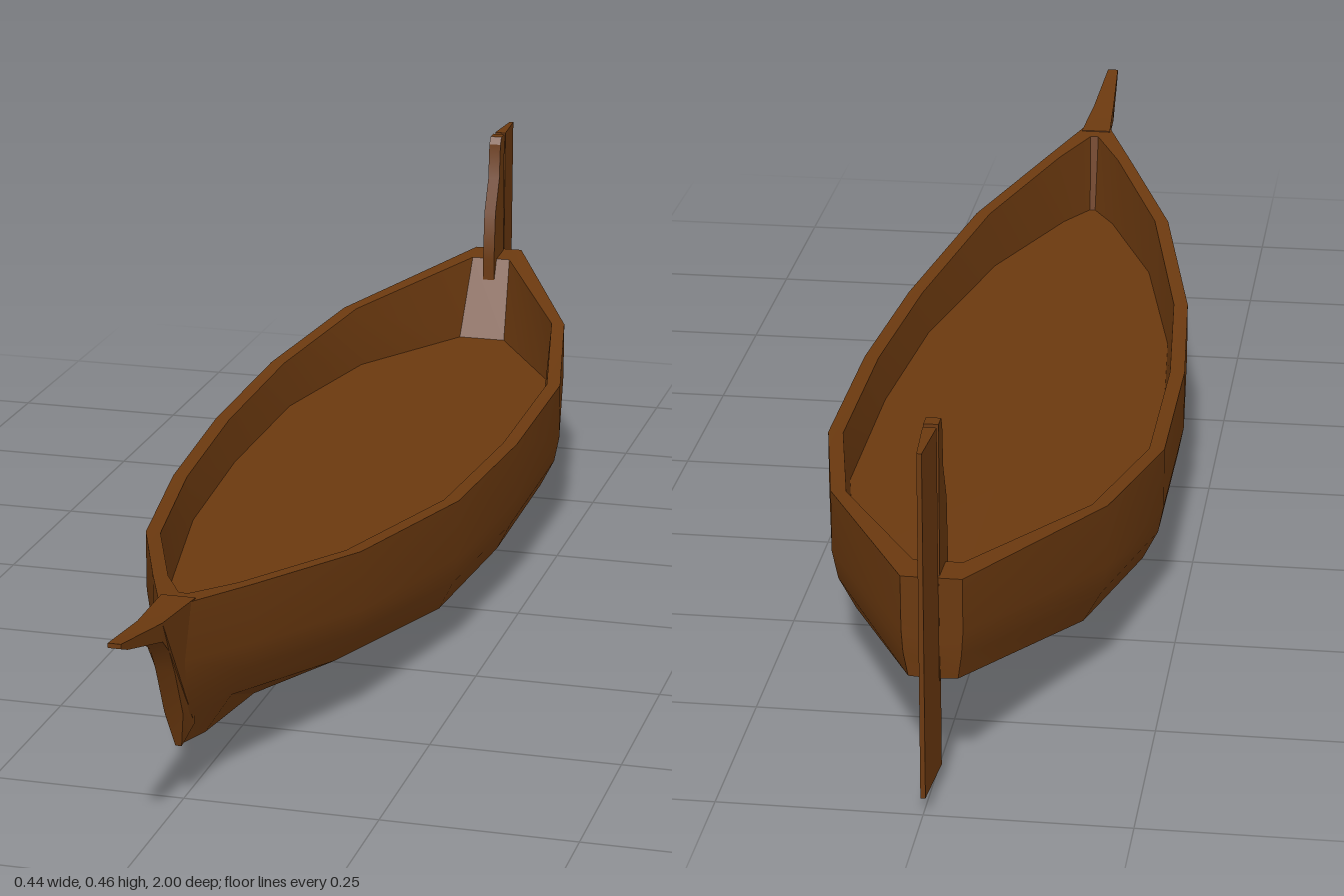
import * as THREE from 'three';
import { toCreasedNormals } from 'three/addons/utils/BufferGeometryUtils.js';

const DECK_Y = 0.155;

// Half section from keel out to the rail, back in and down to the deck centre
function halfSection([z, keelY, chineX, chineY, railX, railY]) {
  const mix = (a, b, t) => a + (b - a) * t;
  return [
    [0, keelY, z],
    [chineX, chineY, z],
    [mix(chineX, railX, 0.74), mix(chineY, railY, 0.25), z],
    [railX, mix(chineY, railY, 0.48), z],
    [railX, railY, z],
    [railX - 0.02, railY, z],
    [railX - 0.028, DECK_Y, z],
    [0, DECK_Y, z],
  ];
}

function hullGeometry() {
  const stations = [
    // raked stern end
    [[0, 0.14, -0.915], [0.03, 0.142, -0.915], [0.035, 0.175, -0.92], [0.037, 0.205, -0.92],
      [0.037, 0.275, -0.922], [0.03, 0.272, -0.868], [0.036, DECK_Y, -0.81], [0, DECK_Y, -0.81]],
    // z, keel y, chine x, chine y, rail x, rail y
    ...[
      [-0.62, 0.04, 0.145, 0.085, 0.175, 0.245],
      [-0.38, 0.011, 0.195, 0.065, 0.222, 0.222],
      [-0.1, 0.003, 0.195, 0.06, 0.222, 0.218],
      [0.16, 0.003, 0.176, 0.06, 0.202, 0.217],
      [0.45, 0.028, 0.11, 0.085, 0.145, 0.238],
      [0.66, 0.056, 0.035, 0.11, 0.066, 0.26],
    ].map(halfSection),
    // raked bow end
    [[0, 0.08, 0.765], [0.008, 0.12, 0.775], [0.011, 0.16, 0.785], [0.012, 0.2, 0.795],
      [0.021, 0.273, 0.775], [0.006, 0.27, 0.74], [0.004, DECK_Y, 0.72], [0, DECK_Y, 0.72]],
  ];
  const positions = [];
  const mirror = ([x, y, z]) => [-x, y, z];
  const quad = (a, b, c, d) => positions.push(...a, ...b, ...c, ...a, ...c, ...d);

  // Both sides, rail, inner walls and deck
  for (let s = 0; s < stations.length - 1; s++) {
    for (let i = 0; i < 7; i++) {
      const q = [stations[s][i], stations[s][i + 1], stations[s + 1][i + 1], stations[s + 1][i]];
      quad(...q);
      quad(...q.map(mirror).reverse());
    }
  }
  // End walls, closed across the boat
  const stern = stations[0];
  const bow = stations[stations.length - 1];
  for (let i = 0; i < 6; i++) {
    quad(mirror(stern[i]), mirror(stern[i + 1]), stern[i + 1], stern[i]);
    quad(bow[i], bow[i + 1], mirror(bow[i + 1]), mirror(bow[i]));
  }
  const geometry = new THREE.BufferGeometry();
  geometry.setAttribute('position', new THREE.Float32BufferAttribute(positions, 3));
  return toCreasedNormals(geometry, 0.45);
}

// Plate from a [z, y] outline; its half thickness may change along z
function plate(outline, halfWidth) {
  const shape = new THREE.Shape(outline.map(([z, y]) => new THREE.Vector2(z, y)));
  const geometry = new THREE.ExtrudeGeometry(shape, { depth: 2, bevelEnabled: false });
  geometry.translate(0, 0, -1).rotateY(-Math.PI / 2);
  const p = geometry.attributes.position;
  for (let i = 0; i < p.count; i++) p.setX(i, p.getX(i) * halfWidth(p.getZ(i), p.getY(i)));
  return toCreasedNormals(geometry, 0.45);
}

export function createModel() {
  const group = new THREE.Group();
  const wood = new THREE.MeshStandardMaterial({ name: 'brownWood', color: 0x6b390f });
  const add = (name, geometry) => {
    const mesh = new THREE.Mesh(geometry, wood);
    mesh.name = name;
    group.add(mesh);
    return mesh;
  };

  add('hull', hullGeometry());

  // Curved stem that sweeps up into the beak
  add('stem', plate([
    [0.74, 0.1], [0.768, 0.08], [0.785, 0.13], [0.815, 0.195], [0.835, 0.23], [0.87, 0.255],
    [0.98, 0.285], [1, 0.293], [1, 0.299], [0.87, 0.279], [0.76, 0.273],
  ], (z, y) => (y < 0.09 ? 0.004 : y < 0.25 ? 0.012 : THREE.MathUtils.mapLinear(z, 0.76, 1, 0.022, 0.008))));

  // Post above the stern
  add('sternPost', plate([
    [-0.92, 0.14], [-0.86, 0.14], [-0.85, 0.275], [-0.856, 0.35], [-0.88, 0.4],
    [-0.885, 0.455], [-0.892, 0.466], [-0.912, 0.466], [-0.915, 0.275], [-0.922, 0.27],
  ], () => 0.009));

  // Rudder, thinner at the trailing edge
  add('rudder', plate([
    [-1, 0.025], [-0.912, 0.025], [-0.912, 0.14], [-0.922, 0.145], [-0.922, 0.466], [-1, 0.466],
  ], (z) => THREE.MathUtils.mapLinear(z, -1, -0.912, 0.003, 0.009)));

  // Hinge pins joining rudder and post
  for (const y of [0.24, 0.4]) {
    add('rudderHinge', new THREE.BoxGeometry(0.012, 0.008, 0.03)).position.set(0, y, -0.918);
  }
  return group;
}
